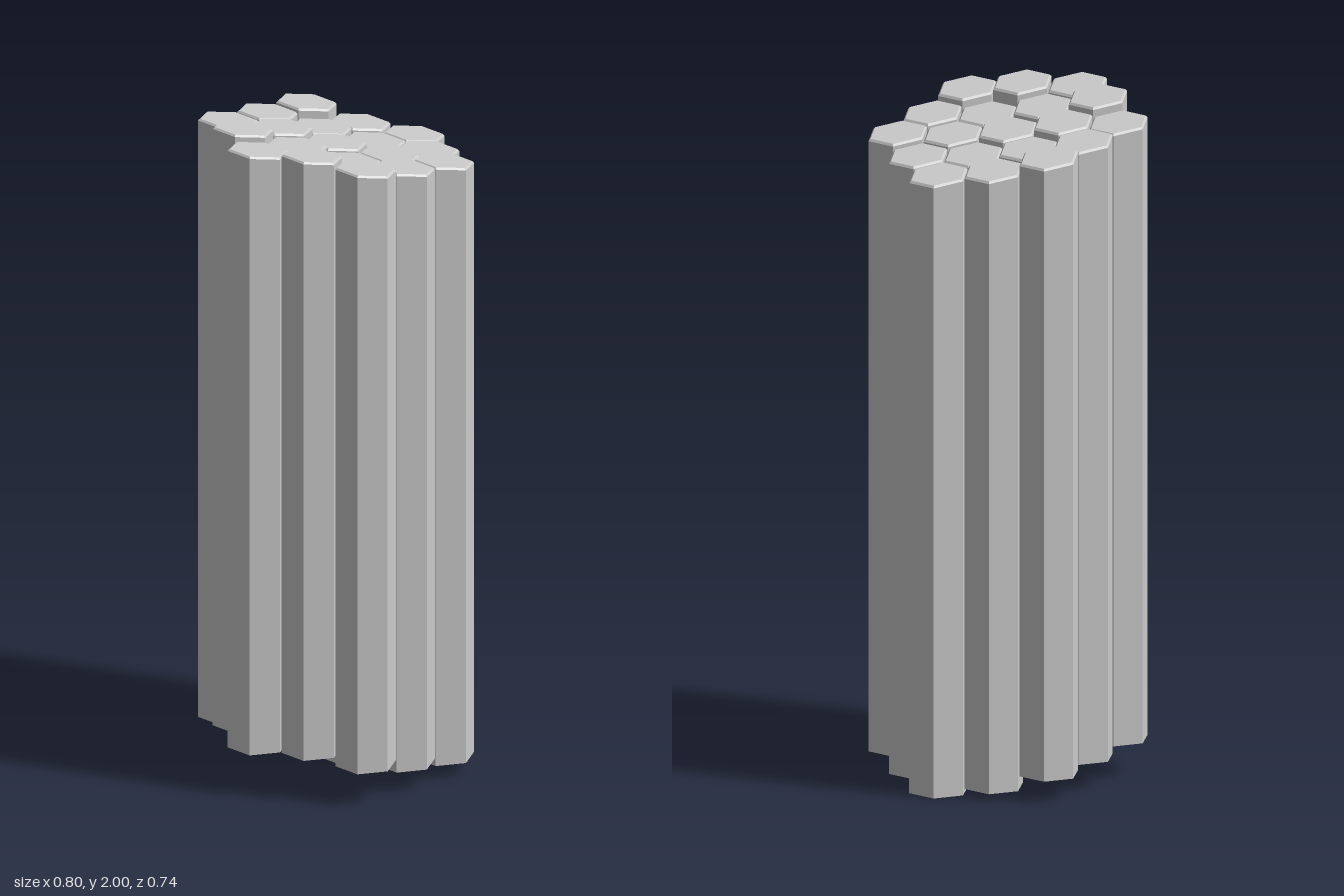
import * as THREE from 'three';

const RADIUS = 0.0905, PITCH_X = 0.16, PITCH_Z = 0.14;
const LENGTH = 1.85, SLOPE = 0.15, BEVEL = 0.006;

// Base height of every pillar, row by row from the back, each from -x to +x
const ROWS = [
  [0.10, 0.08, 0.065],
  [0.136, 0.095, 0.05, 0.02],
  [0.13, 0.10, 0.065, 0.025, 0],
  [0.13, 0.07, 0.045, 0.015],
  [0.105, 0.065, 0.04],
];

// Hexagonal prism with a bevelled top that falls towards +x
function pillarGeometry(length) {
  const profile = [
    [0, 0], [RADIUS, 0], [RADIUS, length - BEVEL], [RADIUS - BEVEL, length], [0, length],
  ].map(([x, y]) => new THREE.Vector2(x, y));
  const geometry = new THREE.LatheGeometry(profile, 6);
  const p = geometry.attributes.position;
  for (let i = 0; i < p.count; i++) {
    if (p.getY(i) > length / 2) p.setY(i, p.getY(i) - SLOPE * p.getX(i));
  }
  geometry.computeVertexNormals();
  return geometry;
}

export function createModel() {
  const group = new THREE.Group();
  group.name = 'hexagonalPillarCluster';
  const material = new THREE.MeshStandardMaterial({ color: 0xcccccc, flatShading: true });
  const full = pillarGeometry(LENGTH);

  // The middle pillar stops short of the base, leaving a recess underneath
  const recess = 0.3;
  const short = pillarGeometry(LENGTH - recess);

  ROWS.forEach((row, r) => {
    row.forEach((base, c) => {
      const isMiddle = r === 2 && c === 2;
      const pillar = new THREE.Mesh(isMiddle ? short : full, material);
      pillar.name = isMiddle ? 'middlePillar' : `pillarRow${r + 1}Column${c + 1}`;
      pillar.position.set(
        (c - (row.length - 1) / 2) * PITCH_X,
        base + (isMiddle ? recess : 0),
        (r - 2) * PITCH_Z,
      );
      group.add(pillar);
    });
  });
  return group;
}
